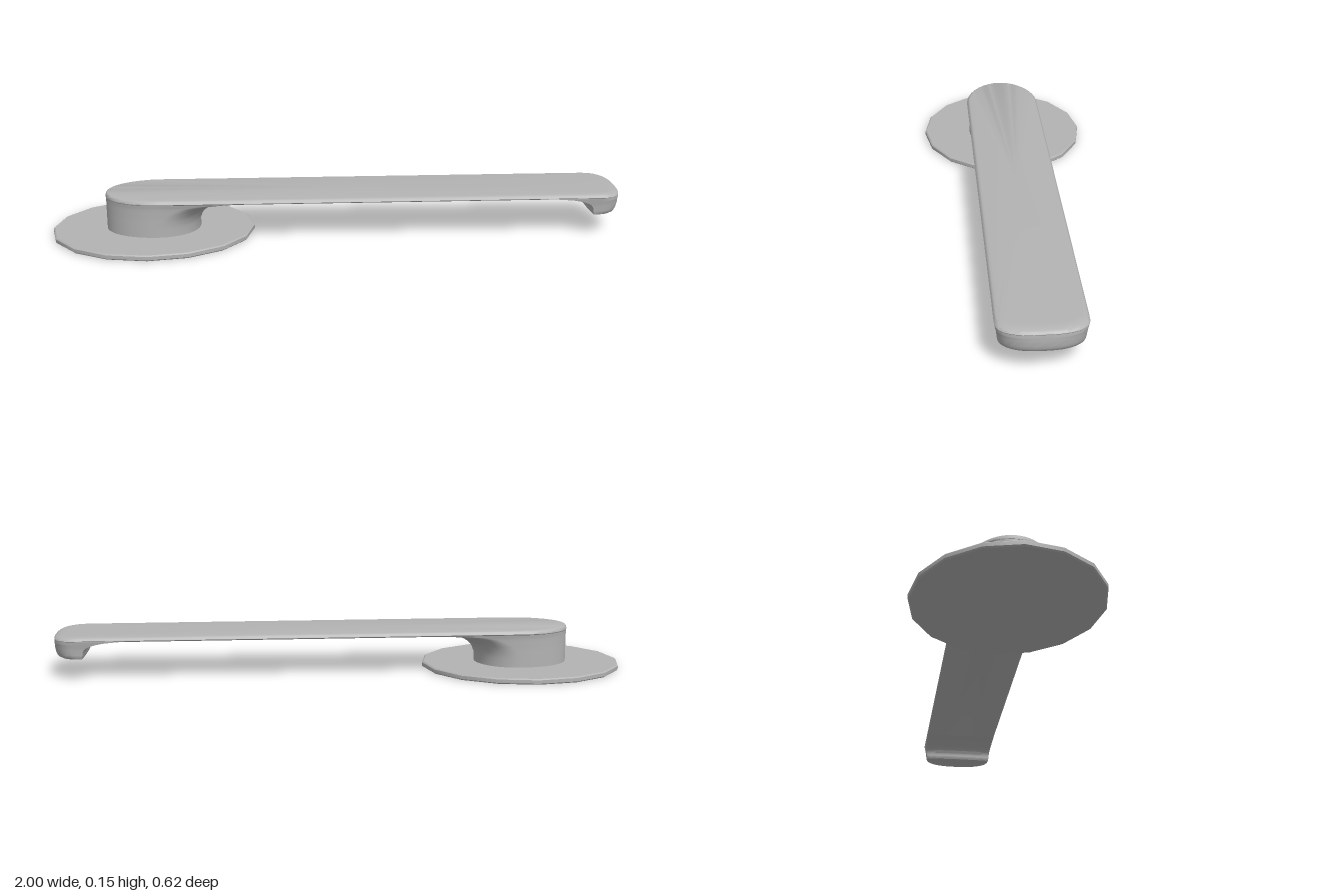
import * as THREE from 'three';
import { toCreasedNormals } from 'three/addons/utils/BufferGeometryUtils.js';

const HALF = 28; // steps around each rounded end

// Horizontal outline with a superelliptic cap at each end and straight sides
function outline({ xl, xr, hw, rl, rr, nl = 2, nr = 2 }) {
  const pts = [];
  const power = (v, n) => Math.sign(v) * Math.pow(Math.abs(v), 2 / n);
  for (let side = 0; side < 2; side++) {
    const r = side ? rl : rr, n = side ? nl : nr;
    const centre = side ? xl + rl : xr - rr;
    for (let i = 0; i <= HALF; i++) {
      const t = -Math.PI / 2 + Math.PI * (side + i / HALF);
      const c = i % HALF === 0 ? 0 : Math.cos(t);
      pts.push([centre + r * power(c, n), hw * power(Math.sin(t), n)]);
    }
  }
  return pts;
}

// Solid lofted upwards through a list of outlines, closed at both ends
function loft(levels) {
  const pos = [], idx = [];
  const count = 2 * (HALF + 1);
  for (const l of levels) for (const [x, z] of outline(l)) pos.push(x, l.y, z);
  const first = levels[0], last = levels[levels.length - 1];
  const bottom = levels.length * count, top = bottom + 1;
  for (const l of [first, last]) pos.push((l.xl + l.xr) / 2, l.y, 0);
  for (let j = 0; j < count; j++) {
    const k = (j + 1) % count;
    for (let i = 0; i < levels.length - 1; i++) {
      const a = i * count + j, b = i * count + k;
      idx.push(a, a + count, b, b, a + count, b + count);
    }
    const up = (levels.length - 1) * count;
    idx.push(bottom, j, k, top, up + k, up + j);
  }
  const g = new THREE.BufferGeometry();
  g.setAttribute('position', new THREE.Float32BufferAttribute(pos, 3));
  g.setIndex(idx);
  return toCreasedNormals(g, 0.75);
}

export function createModel() {
  const group = new THREE.Group();
  const metal = new THREE.MeshStandardMaterial({ color: 0xb3b3b3 });
  metal.name = 'grey metal';
  const add = (name, geometry) => {
    const mesh = new THREE.Mesh(geometry, metal);
    mesh.name = name;
    group.add(mesh);
    return mesh;
  };

  // Thin sixteen-sided oval mounting plate with a small edge bevel
  const R = 0.355;
  const profile = [[0, 0], [R - 0.005, 0], [R, 0.004], [R, 0.016], [R - 0.005, 0.02], [0, 0.02]]
    .map(([x, y]) => new THREE.Vector2(x, y));
  const plate = new THREE.LatheGeometry(profile, 16);
  plate.scale(1, 1, 0.308 / R);
  plate.translate(-0.645, 0, 0);
  add('mountingPlate', toCreasedNormals(plate, 0.5));

  // Oval neck whose inner side sweeps into the lever: y, right end, half width, squareness
  add('neck', loft([
    [0.015, -0.48, 0.131, 2], [0.05, -0.479, 0.131, 2], [0.075, -0.47, 0.131, 2],
    [0.095, -0.452, 0.131, 2.05], [0.11, -0.427, 0.132, 2.1], [0.12, -0.4, 0.132, 2.2],
    [0.127, -0.36, 0.133, 2.3], [0.132, -0.31, 0.134, 2.4], [0.135, -0.25, 0.134, 2.5],
    [0.138, -0.15, 0.135, 2.5],
  ].map(([y, xr, hw, nr]) => ({ y, xl: -0.809, xr, hw, rl: 0.18, rr: 0.14, nr }))));

  // Long flat lever with a softly rounded upper edge
  const levels = [
    { y: 0.1355, xl: -0.81, xr: 0.997, hw: 0.133, rl: 0.185, rr: 0.08, nr: 2.8 },
    { y: 0.137, xl: -0.81, xr: 0.999, hw: 0.137, rl: 0.185, rr: 0.08, nr: 2.8 },
  ];
  for (let i = 0; i <= 6; i++) {
    const a = (i / 6) * Math.PI / 2, inset = 1 - Math.cos(a);
    levels.push({
      y: 0.14 + 0.0125 * Math.sin(a), xl: -0.81 + 0.008 * inset, xr: 1 - 0.045 * inset,
      hw: 0.139 - 0.018 * inset, rl: 0.185, rr: 0.08, nr: 2.8,
    });
  }
  add('lever', loft(levels));

  // Downturned tip, filleted on its inner side: y, left end, right end, half width, squareness
  add('leverTip', loft([
    [0.076, 0.893, 0.985, 0.128, 2.4], [0.08, 0.89, 0.993, 0.13, 2.4],
    [0.09, 0.889, 0.997, 0.131, 2.5], [0.1, 0.888, 0.999, 0.132, 2.5],
    [0.11, 0.882, 1, 0.133, 2.6], [0.118, 0.87, 1, 0.1345, 2.6],
    [0.125, 0.85, 1, 0.136, 2.7], [0.131, 0.82, 1, 0.137, 2.8],
    [0.135, 0.78, 1, 0.138, 2.8], [0.139, 0.72, 0.999, 0.138, 2.8],
  ].map(([y, xl, xr, hw, nr]) => ({ y, xl, xr, hw, rl: 0.006, rr: 0.08, nr }))));

  return group;
}
